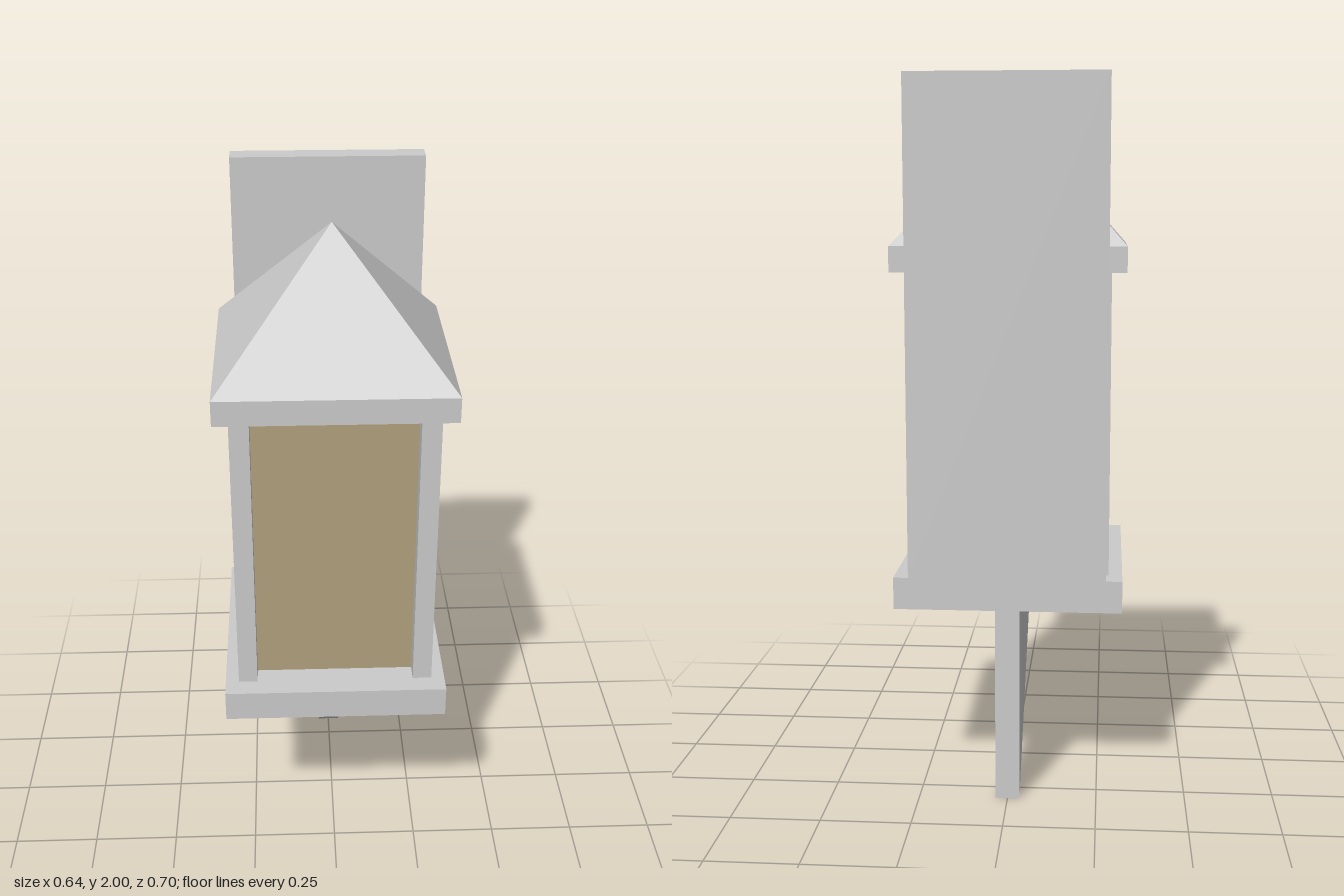
import * as THREE from 'three';

const grey = new THREE.MeshStandardMaterial({ color: 0xcccccc, flatShading: true });
const amber = new THREE.MeshStandardMaterial({ color: 0xb0a07d, flatShading: true });

// Box given by its limits on each axis
function box(name, [x0, x1], [y0, y1], [z0, z1], material = grey) {
  const mesh = new THREE.Mesh(new THREE.BoxGeometry(x1 - x0, y1 - y0, z1 - z0), material);
  mesh.position.set((x0 + x1) / 2, (y0 + y1) / 2, (z0 + z1) / 2);
  mesh.name = name;
  return mesh;
}

export function createModel() {
  const model = new THREE.Group();
  model.name = 'wallLantern';

  // Wall board and base slab
  model.add(box('backBoard', [-0.272, 0.272], [0.64, 2], [-0.352, -0.285]));
  model.add(box('baseSlab', [-0.317, 0.317], [0.55, 0.64], [-0.328, 0.35]));

  // Triangular bracket under the base
  const thickness = 0.068;
  const profile = new THREE.Shape([
    new THREE.Vector2(-0.26, 0.55),
    new THREE.Vector2(0.325, 0),
    new THREE.Vector2(0.325, 0.55),
  ]);
  const bracketGeometry = new THREE.ExtrudeGeometry(profile, { depth: thickness, bevelEnabled: false });
  bracketGeometry.translate(0, 0, -thickness / 2).rotateY(Math.PI / 2);
  const bracket = new THREE.Mesh(bracketGeometry, grey);
  bracket.name = 'bracket';
  model.add(bracket);

  // Glass body, a little short of the roof
  model.add(box('glassBody', [-0.225, 0.225], [0.64, 1.46], [-0.21, 0.24], amber));

  // Corner posts just outside the glass corners
  for (const [side, x] of [['left', [0.225, 0.279]], ['right', [-0.279, -0.225]]]) {
    model.add(box(side + 'FrontPost', x, [0.64, 1.48], [0.24, 0.293]));
    model.add(box(side + 'BackPost', x, [0.64, 1.48], [-0.263, -0.21]));
  }

  // Roof: eaves slab and four-sided pyramid
  model.add(box('eaves', [-0.32, 0.32], [1.48, 1.55], [-0.31, 0.33]));
  const roofGeometry = new THREE.ConeGeometry(0.32 * Math.SQRT2, 0.36, 4);
  roofGeometry.rotateY(Math.PI / 4);
  const roof = new THREE.Mesh(roofGeometry, grey);
  roof.position.set(0, 1.73, 0.01);
  roof.name = 'roof';
  model.add(roof);

  return model;
}
